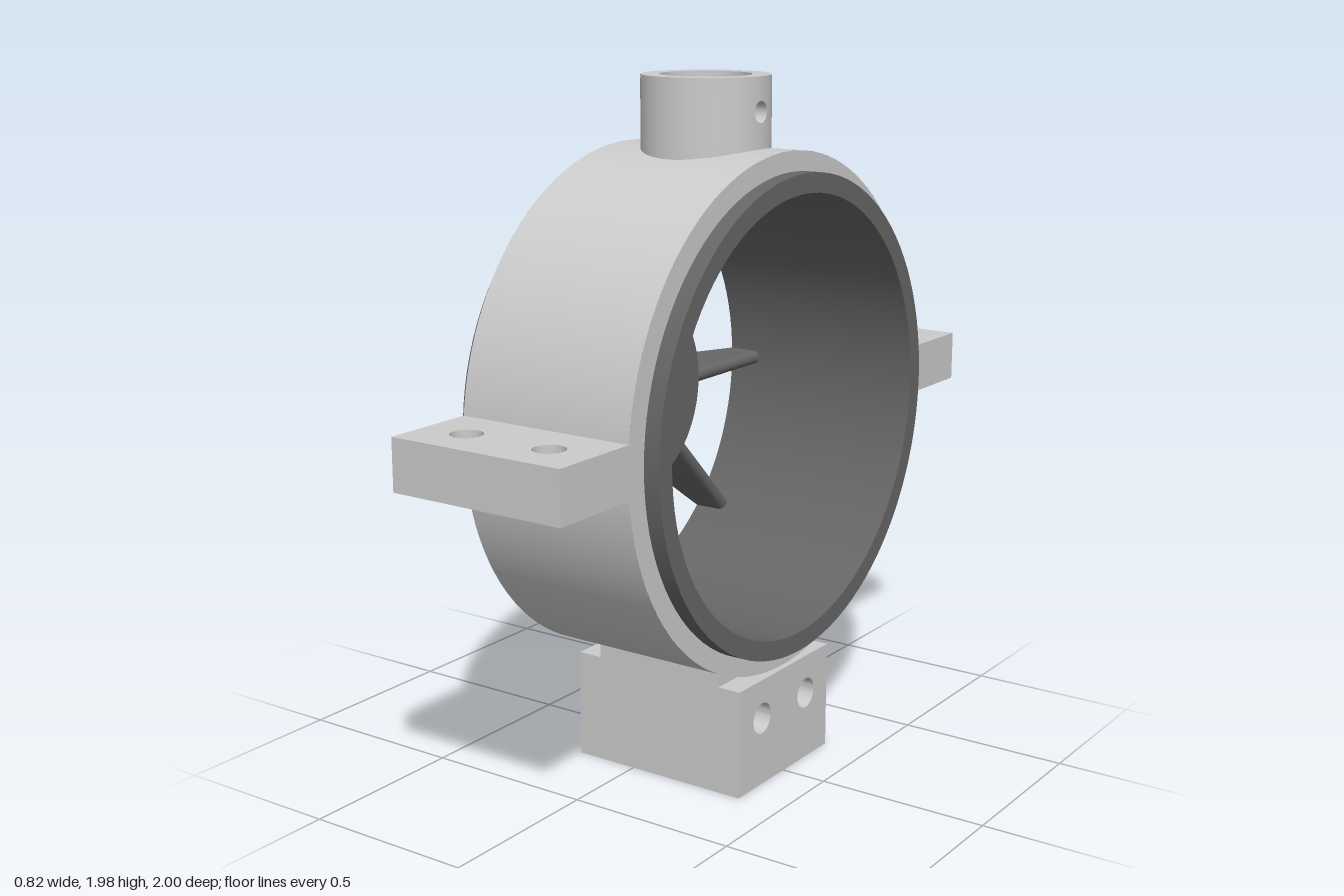
import * as THREE from 'three';
import { toCreasedNormals } from 'three/addons/utils/BufferGeometryUtils.js';
import { ParametricGeometry } from 'three/addons/geometries/ParametricGeometry.js';

const CY = 1.05;             // height of the ring axis (runs along x)
const R = 0.73;              // shell radius
const X0 = -0.18, X1 = 0.355, XM = 0.0875;
const BOSS_TOP = 1.975;

const grey = new THREE.MeshStandardMaterial({ color: 0xcccccc, side: THREE.DoubleSide });
const dark = new THREE.MeshStandardMaterial({ color: 0x666666, side: THREE.DoubleSide });

function add(parent, name, geometry, material = grey) {
  const mesh = new THREE.Mesh(geometry, material);
  mesh.name = name;
  parent.add(mesh);
  return mesh;
}

// Rectangle with round holes given as [x, y, radius]
function plate(x0, x1, y0, y1, holes) {
  const s = new THREE.Shape();
  s.moveTo(x0, y0).lineTo(x1, y0).lineTo(x1, y1).lineTo(x0, y1).closePath();
  for (const [x, y, r] of holes) s.holes.push(new THREE.Path().absarc(x, y, r, 0, Math.PI * 2, true));
  return s;
}

function extrude(shape, depth) {
  const g = new THREE.ExtrudeGeometry(shape, { depth, bevelEnabled: false, curveSegments: 20 });
  return toCreasedNormals(g, 0.6);
}

// Turned part around the x axis; points are [radius, x]
function turned(points) {
  const g = new THREE.LatheGeometry(points.map(p => new THREE.Vector2(...p)), 96);
  return toCreasedNormals(g.rotateZ(-Math.PI / 2), 0.5);
}

// Curved sheet with a round hole at (cx, cy): lofts the hole to a rectangle, then bends it by map
function piercedSheet(a0, a1, b0, b1, cx, cy, r, map) {
  const corners = [[a0, b0], [a1, b0], [a1, b1], [a0, b1], [a0, b0]];
  return new ParametricGeometry((u, v, out) => {
    const k = Math.min(3, Math.floor(u * 4 + 1e-9)), f = u * 4 - k;
    const a = corners[k][0] + (corners[k + 1][0] - corners[k][0]) * f - cx;
    const b = corners[k][1] + (corners[k + 1][1] - corners[k][1]) * f - cy;
    const s = r / Math.hypot(a, b);
    const t = s + (1 - s) * v;
    map(cx + a * t, cy + b * t, out);
  }, 64, 14);
}

function makeShell() {
  const shell = new THREE.Group();
  shell.name = 'outerRing';
  const half = Math.asin(0.2 / R);
  add(shell, 'ringOuterSurface', new ParametricGeometry((u, v, out) => {
    const t = half + u * (Math.PI * 2 - 2 * half);
    out.set(X0 + v * (X1 - X0), CY + R * Math.cos(t), R * Math.sin(t));
  }, 96, 1));
  // crown of the ring, pierced below the boss
  add(shell, 'ringCrown', piercedSheet(X0, X1, -0.2, 0.2, XM, 0, 0.127,
    (x, z, out) => out.set(x, CY + Math.sqrt(R * R - z * z), z)));
  for (const x of [X0, X1]) {
    const face = add(shell, 'ringEndFace', new THREE.RingGeometry(0.655, R, 96));
    face.rotation.y = x > 0 ? Math.PI / 2 : -Math.PI / 2;
    face.position.set(x, CY, 0);
  }
  return shell;
}

function makeBoss() {
  const boss = new THREE.Group();
  boss.name = 'topBoss';
  for (const side of [0, Math.PI]) {
    for (const [r, bottom] of [[0.18, 1.74], [0.127, 1.7]]) {
      const w = r * Math.PI / 2;
      add(boss, r > 0.15 ? 'bossOuterWall' : 'bossBore', piercedSheet(-w, w, bottom, BOSS_TOP, 0, 1.88, 0.03,
        (s, y, out) => out.set(XM + r * Math.cos(s / r + side), y, r * Math.sin(s / r + side))));
    }
    // pin hole through the wall
    const pin = new THREE.CylinderGeometry(0.03, 0.03, 0.055, 24, 1, true).rotateZ(Math.PI / 2);
    add(boss, 'pinHole', pin).position.set(XM + 0.151 * Math.cos(side), 1.88, 0);
  }
  const rim = add(boss, 'bossRim', new THREE.RingGeometry(0.127, 0.18, 64));
  rim.rotation.x = -Math.PI / 2;
  rim.position.set(XM, BOSS_TOP, 0);
  return boss;
}

function makeBase() {
  const base = new THREE.Group();
  base.name = 'base';
  // upper block with two cross holes
  const block = extrude(plate(-0.235, 0.235, 0.1, 0.315, [[-0.117, 0.2, 0.045], [0.117, 0.2, 0.045]]), 0.555);
  add(base, 'baseBlock', block.rotateY(Math.PI / 2).translate(-0.19, 0, 0));
  // lower block with four blind screw holes
  const screws = [0, 1, 2, 3].map(i =>
    [0.14 + 0.125 * Math.cos(i * Math.PI / 2), -0.03 + 0.125 * Math.sin(i * Math.PI / 2), 0.02]);
  const foot = extrude(plate(-0.19, 0.365, -0.235, 0.235, screws), 0.1);
  add(base, 'baseFoot', foot.rotateX(Math.PI / 2).translate(0, 0.1, 0));
  add(base, 'baseSaddle', new THREE.BoxGeometry(0.41, 0.055, 0.47)).position.set(0.09, 0.33, 0);
  return base;
}

function makeInsert() {
  const insert = new THREE.Group();
  insert.name = 'spokedInsert';
  insert.position.y = CY;
  // sleeve with a flange at each end
  add(insert, 'sleeve', turned([[0.62, -0.23], [0.675, -0.23], [0.675, -0.18], [0.66, -0.18],
    [0.66, 0.363], [0.675, 0.363], [0.675, 0.41], [0.62, 0.41], [0.62, -0.23]]), dark);
  add(insert, 'hub', turned([[0.147, -0.41], [0.285, -0.41], [0.285, -0.13], [0.147, -0.13],
    [0.14, -0.137], [0.14, -0.403], [0.147, -0.41]]), dark);
  // tapered ribs with a rounded inner edge
  const profile = new THREE.Shape();
  profile.moveTo(-0.39, 0.275).lineTo(-0.22, 0.64).lineTo(-0.15, 0.64).lineTo(-0.15, 0.275).closePath();
  const web = extrude(profile, 0.042).translate(0, 0, -0.021);
  const edge = new THREE.CylinderGeometry(0.021, 0.021, 0.365, 12, 1, true, 0, Math.PI).translate(-0.15, 0.4575, 0);
  for (let i = 0; i < 8; i++) {
    const rib = new THREE.Group();
    rib.name = 'rib';
    rib.rotation.x = i * Math.PI / 4;
    add(rib, 'ribWeb', web, dark);
    add(rib, 'ribEdge', edge, dark);
    insert.add(rib);
  }
  return insert;
}

export function createModel() {
  const model = new THREE.Group();
  model.name = 'ringMount';
  model.add(makeShell(), makeBoss(), makeBase(), makeInsert());
  // side lugs with two bolt holes each
  for (const s of [1, -1]) {
    const holes = [[-0.045, s * 0.87, 0.044], [0.22, s * 0.87, 0.044]];
    const z0 = s > 0 ? 0.7 : -1;
    const lug = extrude(plate(X0, X1, z0, z0 + 0.3, holes), 0.145);
    add(model, s > 0 ? 'frontLug' : 'backLug', lug.rotateX(Math.PI / 2).translate(0, 1.123, 0));
  }
  return model;
}
